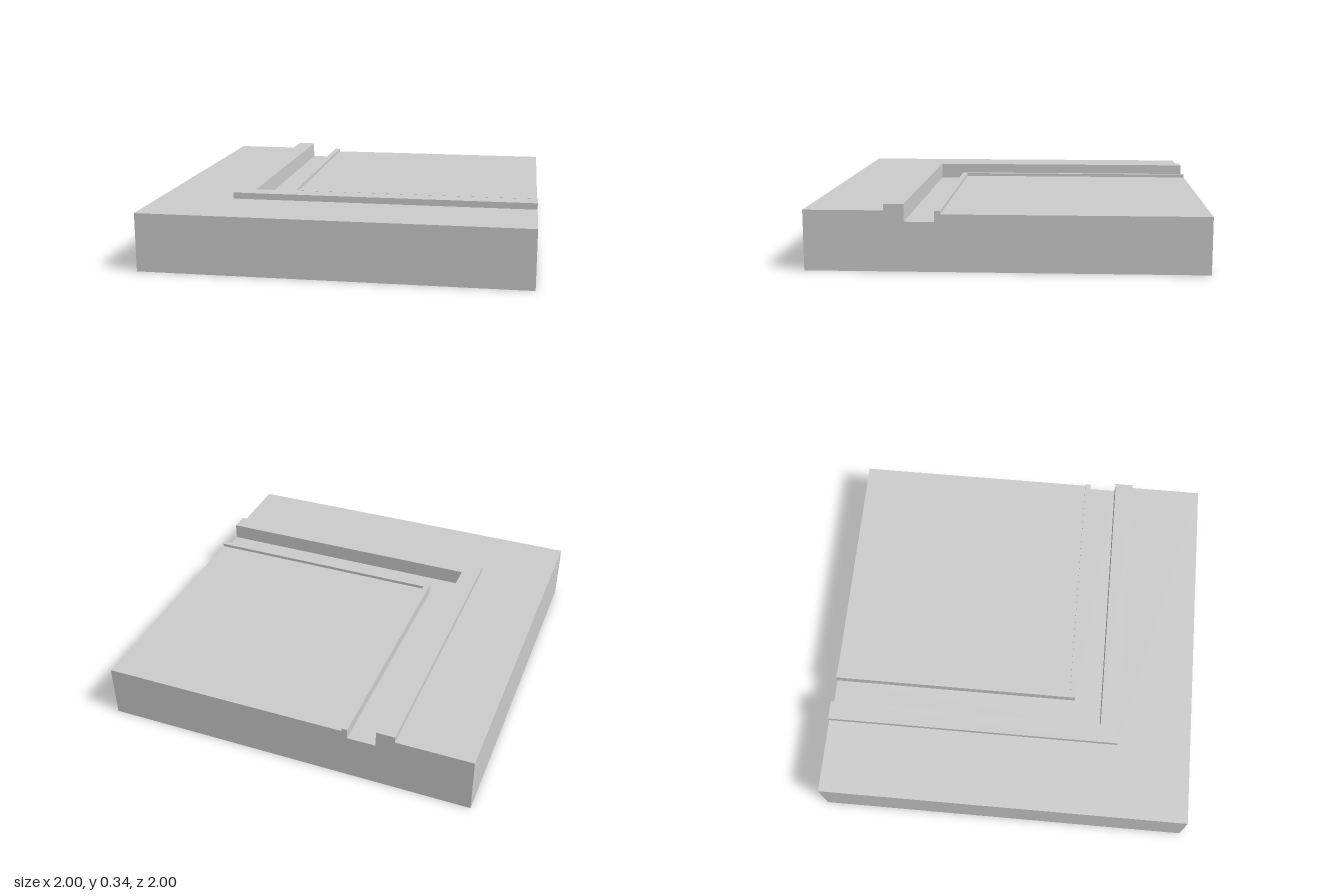
import * as THREE from 'three';

// Heights of the stepped top surface
const GROUND = 0.305, CURB = 0.338, CHANNEL = 0.25, BED = 0.288;

// Profiles as [distance outwards from the centre, height], outside to inside
const bands = {
  outerSlab: [[1, 0], [1, GROUND], [0.6, GROUND]],
  curb: [[0.6, GROUND], [0.6, CURB], [0.5, CURB]],
  channel: [[0.5, CURB], [0.5, CHANNEL], [0.35, CHANNEL]],
  innerLip: [[0.35, CHANNEL], [0.35, GROUND], [0.32, GROUND], [0.32, BED]],
};

export function createModel() {
  const model = new THREE.Group();
  const material = new THREE.MeshStandardMaterial({ color: 0xcccccc, flatShading: true });
  const add = (name, geometry) => {
    const mesh = new THREE.Mesh(geometry, material);
    mesh.name = name;
    model.add(mesh);
  };

  // Sweep a profile along the L: back edge, mitred corner, side edge
  const sweepL = (profile) => {
    const stations = [d => [-d, -1], d => [-d, d], d => [1, d]];
    const at = (s, [d, y]) => {
      const [x, z] = stations[s](d);
      return [x, y, z];
    };
    const positions = [];
    for (let s = 0; s < 2; s++) {
      for (let i = 0; i < profile.length - 1; i++) {
        const a = at(s, profile[i]), b = at(s + 1, profile[i]);
        const c = at(s, profile[i + 1]), d = at(s + 1, profile[i + 1]);
        positions.push(...a, ...b, ...c, ...b, ...d, ...c);
      }
    }
    const geometry = new THREE.BufferGeometry();
    geometry.setAttribute('position', new THREE.Float32BufferAttribute(positions, 3));
    geometry.computeVertexNormals();
    return geometry;
  };
  for (const [name, profile] of Object.entries(bands)) add(name, sweepL(profile));

  // Sunken square inside the lip, and the underside
  add('innerBed', new THREE.PlaneGeometry(1.32, 1.32).rotateX(-Math.PI / 2).translate(0.34, BED, -0.34));
  add('underside', new THREE.PlaneGeometry(2, 2).rotateX(Math.PI / 2));

  // Cut end faces showing the full stepped section
  const section = [...Object.values(bands).flatMap((p, i) => (i ? p.slice(1) : p)), [-1, BED], [-1, 0]];
  const endFace = (sign) => new THREE.ShapeGeometry(
    new THREE.Shape(section.map(([d, y]) => new THREE.Vector2(sign * d, y))));
  add('backFace', endFace(1).rotateY(Math.PI).translate(0, 0, -1));
  add('leftFace', endFace(-1).rotateY(Math.PI / 2).translate(1, 0, 0));

  return model;
}
